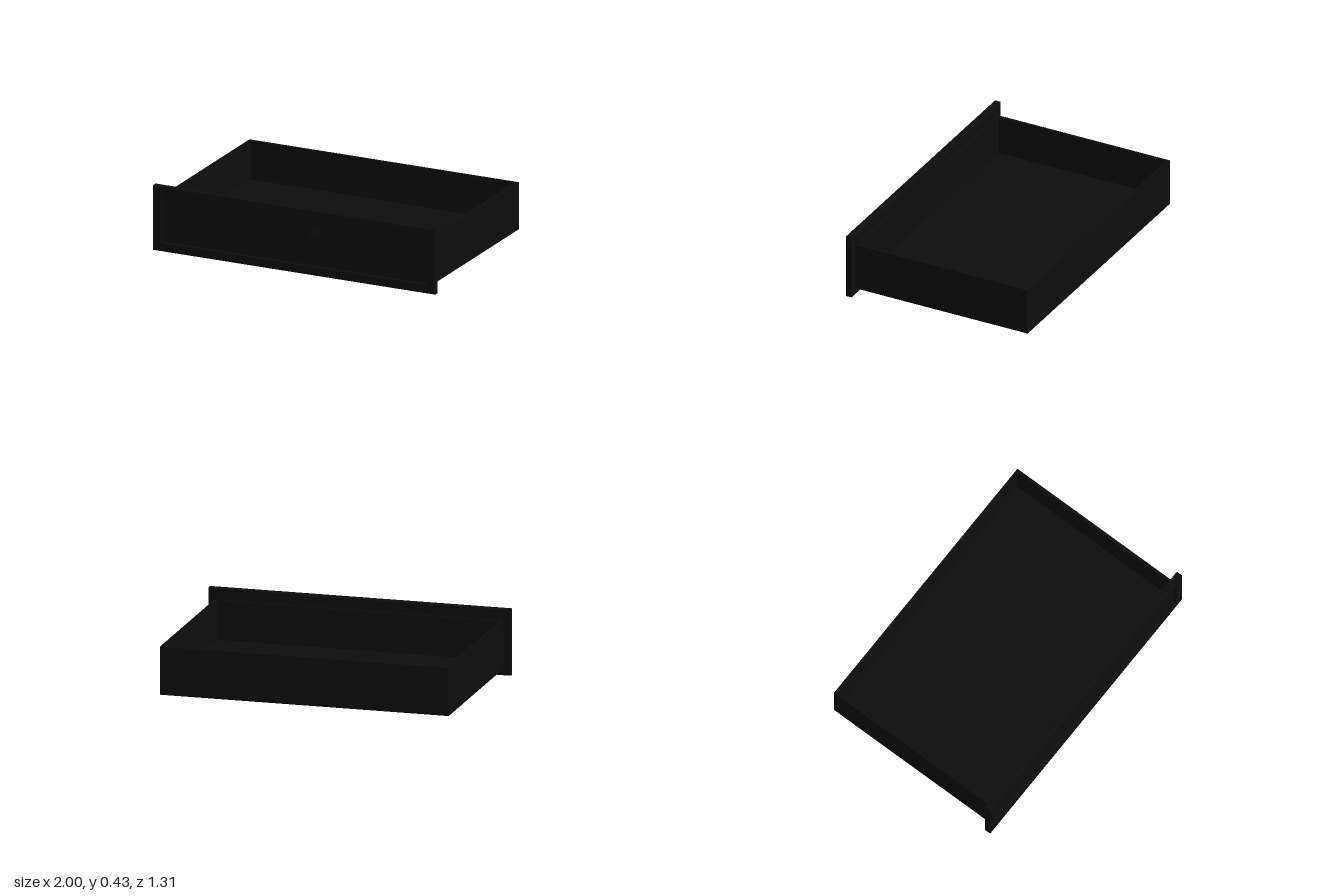
import * as THREE from 'three';

export function createModel() {
  const drawer = new THREE.Group();
  drawer.name = 'drawer';
  const black = new THREE.MeshStandardMaterial({ color: 0x0d0d0d });

  const add = (name, geometry, x, y, z) => {
    const mesh = new THREE.Mesh(geometry, black);
    mesh.name = name;
    mesh.position.set(x, y, z);
    drawer.add(mesh);
  };
  const rectangle = (path, w, h) => {
    path.moveTo(-w, -h).lineTo(w, -h).lineTo(w, h).lineTo(-w, h).closePath();
    return path;
  };

  // Open box: floor and four walls
  const wall = 0.02, bottom = 0.045, top = 0.36, floorTop = 0.1;
  const halfWidth = 0.955, back = -0.655, front = 0.587;
  const depth = front - back, midZ = (front + back) / 2;
  const height = top - bottom, midY = (top + bottom) / 2;
  for (const side of [-1, 1]) {
    add(side > 0 ? 'leftWall' : 'rightWall', new THREE.BoxGeometry(wall, height, depth),
      side * (halfWidth - wall / 2), midY, midZ);
  }
  const innerWidth = 2 * (halfWidth - wall);
  add('backWall', new THREE.BoxGeometry(innerWidth, height, wall), 0, midY, back + wall / 2);
  add('innerFrontWall', new THREE.BoxGeometry(innerWidth, height, wall), 0, midY, front - wall / 2);
  add('floor', new THREE.BoxGeometry(innerWidth, floorTop - bottom, depth - 2 * wall),
    0, (floorTop + bottom) / 2, midZ);

  // Front frame with softened edges around a recessed panel
  const bevel = 0.006;
  const frame = rectangle(new THREE.Shape(), 1 - bevel, 0.217 - bevel);
  frame.holes.push(rectangle(new THREE.Path(), 0.94 + bevel, 0.157 + bevel));
  add('frontFrame', new THREE.ExtrudeGeometry(frame, {
    depth: 0.046 - 2 * bevel, bevelEnabled: true, bevelSize: bevel,
    bevelThickness: bevel, bevelSegments: 2,
  }), 0, 0.217, 0.586 + bevel);
  add('frontPanel', new THREE.BoxGeometry(1.9, 0.33, 0.026), 0, 0.217, 0.599);

  // Bent strip handle: feet on the panel, slanted legs, flat grip
  const half = [[0.22, 0.612], [0.197, 0.612], [0.118, 0.649]];
  const t = 0.006;
  const inner = [...half.map(([x, z]) => [-x, z]), ...half.slice().reverse()];
  const outer = inner.map(([x, z]) => [x, z + t]).reverse();
  const strip = new THREE.Shape([...inner, ...outer].map(([x, z]) => new THREE.Vector2(x, -z)));
  const handle = new THREE.ExtrudeGeometry(strip, { depth: 0.042, bevelEnabled: false });
  handle.rotateX(-Math.PI / 2);
  add('handle', handle, -0.007, 0.265, 0);

  return drawer;
}
